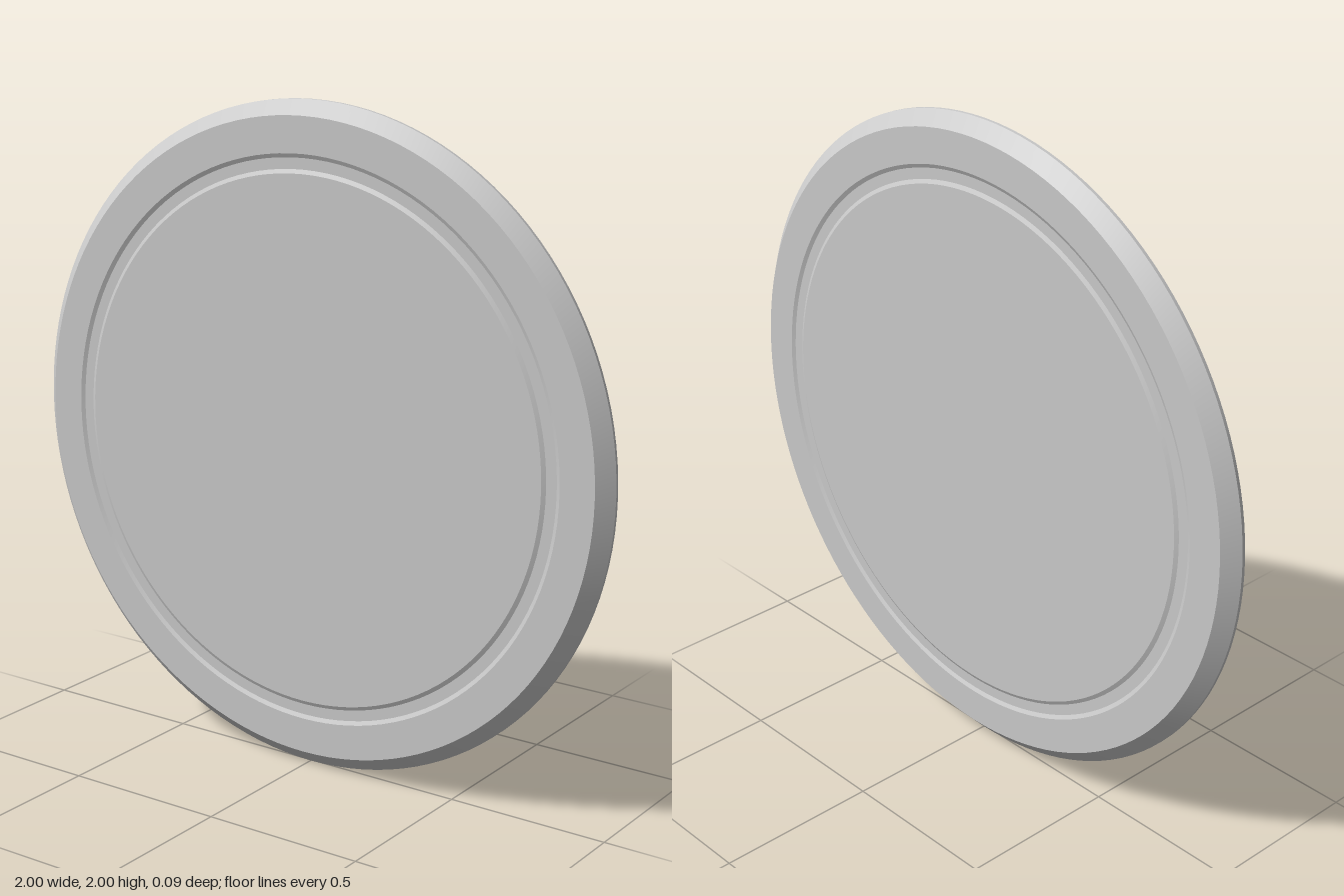
import * as THREE from 'three';
import { toCreasedNormals } from 'three/addons/utils/BufferGeometryUtils.js';

export function createModel() {
  const group = new THREE.Group();
  group.name = 'disc';

  // Half profile from the face centre to the rim: [radius, depth]
  const face = 0.045, groove = 0.039;
  const half = [
    [0, face],
    [0.793, face], [0.805, groove],   // inner groove wall
    [0.838, groove], [0.85, face],    // outer groove wall
    [0.957, face], [1, 0.005],        // bevelled edge
  ];

  // Mirror the half profile so both faces match, running back to front
  const profile = [
    ...half.map(([r, z]) => new THREE.Vector2(r, -z)),
    ...half.slice().reverse().map(([r, z]) => new THREE.Vector2(r, z)),
  ];

  const lathe = new THREE.LatheGeometry(profile, 128);
  lathe.rotateX(Math.PI / 2);
  const body = new THREE.Mesh(
    toCreasedNormals(lathe, 0.2),
    new THREE.MeshStandardMaterial({ color: 0xcccccc })
  );
  body.name = 'groovedDisc';
  body.position.y = 1;
  group.add(body);

  return group;
}
